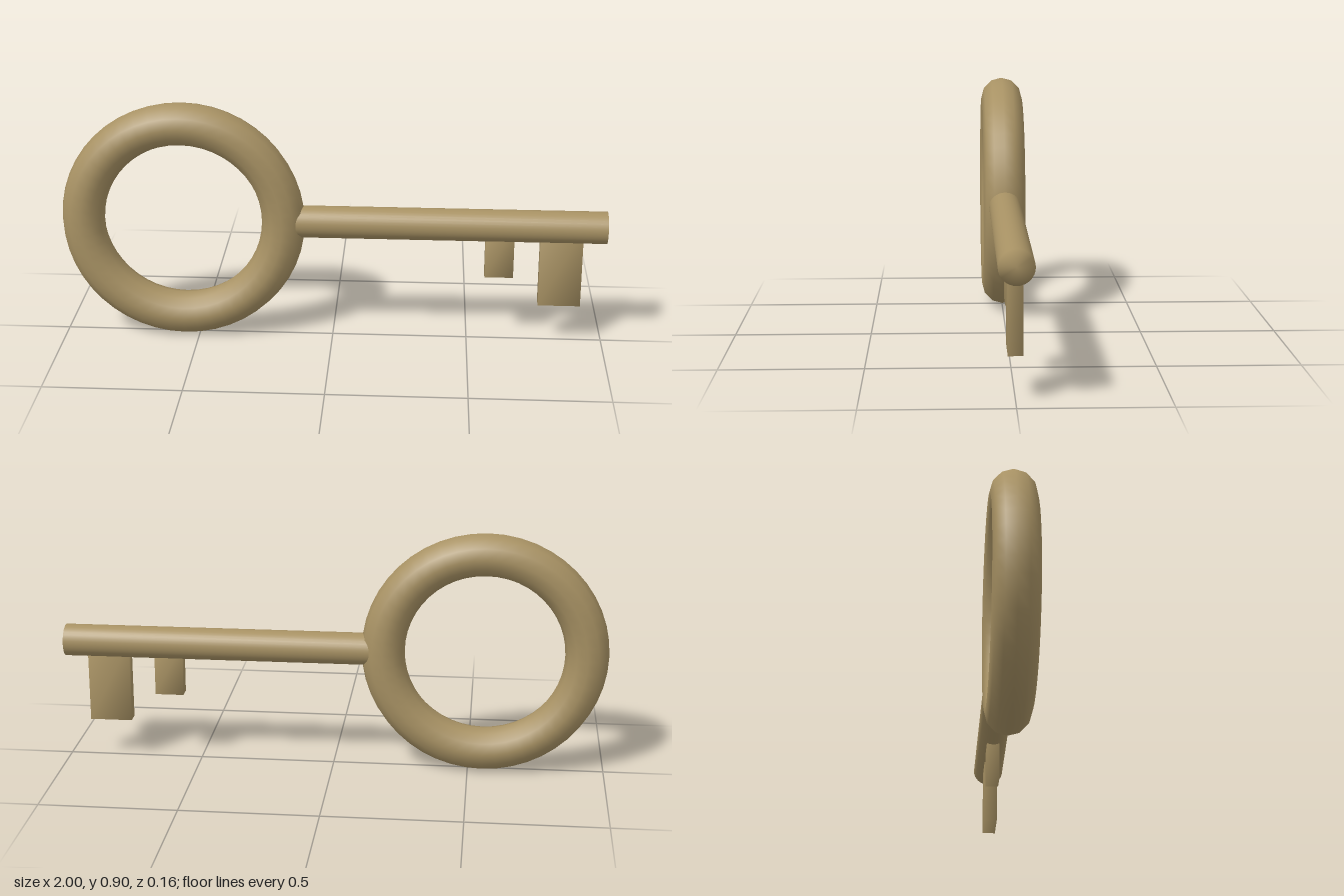
import * as THREE from 'three';
import { mergeVertices } from 'three/addons/utils/BufferGeometryUtils.js';

// Share vertices so normals blend across every edge
function soften(geometry) {
  geometry.deleteAttribute('normal');
  geometry.deleteAttribute('uv');
  const merged = mergeVertices(geometry, 1e-4);
  merged.computeVertexNormals();
  return merged;
}

export function createModel() {
  const group = new THREE.Group();
  group.name = 'key';
  const brass = new THREE.MeshStandardMaterial({ color: 0xa89264 });
  brass.name = 'agedBrass';

  const add = (name, geometry, x, y) => {
    const mesh = new THREE.Mesh(soften(geometry), brass);
    mesh.name = name;
    mesh.position.set(x, y, 0);
    group.add(mesh);
  };

  const axisY = 0.452;

  // Ring handle
  add('bow', new THREE.TorusGeometry(0.37, 0.079, 12, 48), -0.552, 0.45);

  // Round shaft, its inner end buried in the ring
  const start = -0.18, end = 1;
  const shaft = new THREE.CylinderGeometry(0.059, 0.059, end - start, 32).rotateZ(-Math.PI / 2);
  add('shaft', shaft, (start + end) / 2, axisY);

  // Flat teeth hanging from the shaft: [name, left, right, bottom]
  for (const [name, x0, x1, bottom] of [
    ['shortTooth', 0.56, 0.665, 0.256],
    ['longTooth', 0.76, 0.915, 0.148],
  ]) {
    const height = axisY - bottom;
    add(name, new THREE.BoxGeometry(x1 - x0, height, 0.05), (x0 + x1) / 2, bottom + height / 2);
  }

  return group;
}
